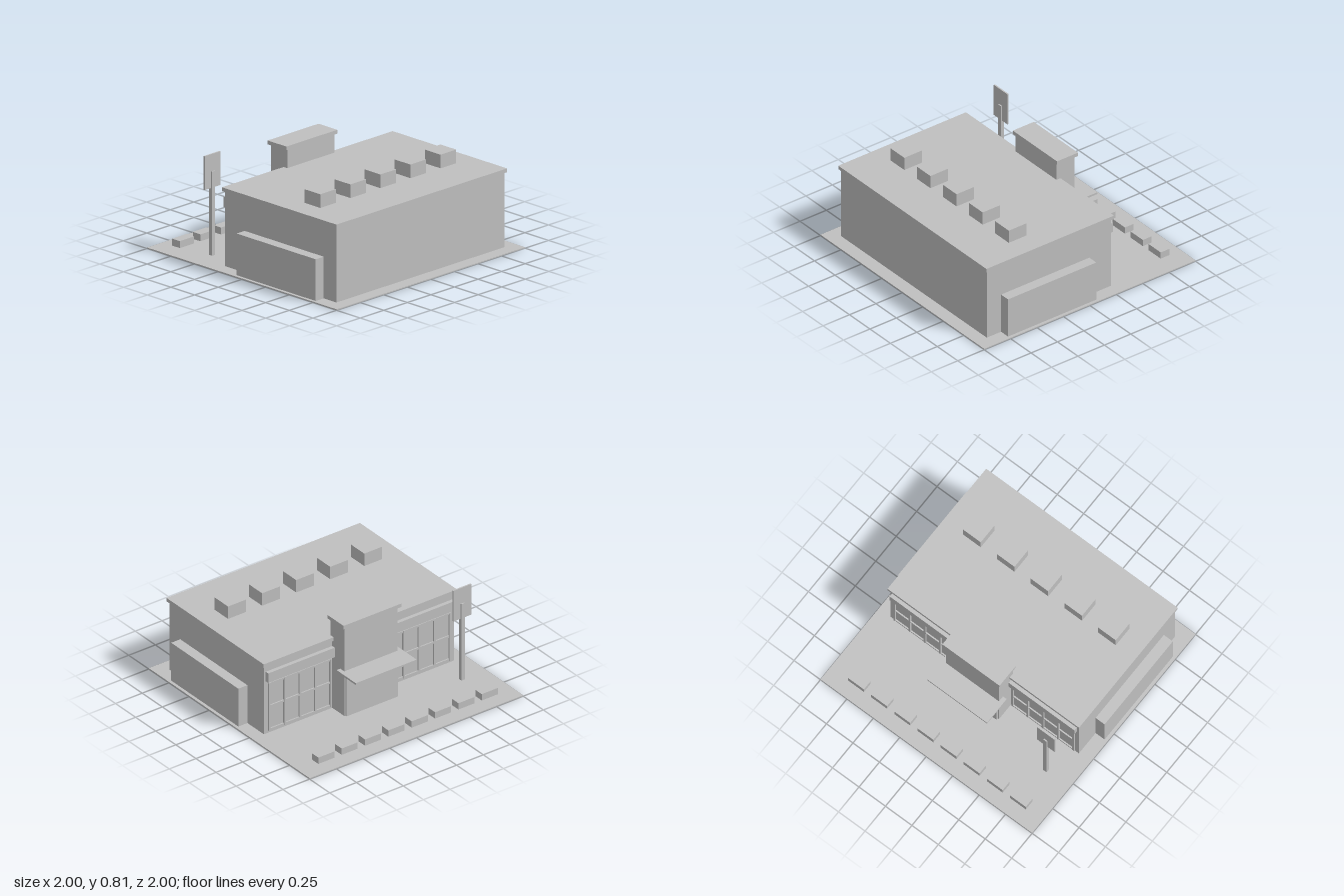
import * as THREE from 'three';

export function createModel() {
  const model = new THREE.Group();
  const grey = new THREE.MeshStandardMaterial({ color: 0xbfbfbf });
  grey.name = 'light grey';

  // Box given by its extents along each axis
  function box(name, [x0, x1], [y0, y1], [z0, z1]) {
    const mesh = new THREE.Mesh(new THREE.BoxGeometry(x1 - x0, y1 - y0, z1 - z0), grey);
    mesh.position.set((x0 + x1) / 2, (y0 + y1) / 2, (z0 + z1) / 2);
    mesh.name = name;
    model.add(mesh);
  }
  const around = (centre, width) => [centre - width / 2, centre + width / 2];
  const side = (s, a, b) => (s > 0 ? [a, b] : [-b, -a]);

  // Lot and main building
  box('ground', [-1, 1], [0, 0.008], [-1, 1]);
  box('building', [-0.89, 0.89], [0.004, 0.602], [-0.285, 0.89]);
  box('roofSlab', [-0.905, 0.905], [0.602, 0.632], [-0.303, 0.905]);

  // Entrance tower, cap, canopy and door
  box('entranceTower', [-0.25, 0.25], [0.004, 0.78], [-0.435, -0.265]);
  box('towerCap', [-0.27, 0.27], [0.78, 0.81], [-0.453, -0.255]);
  box('entranceCanopy', [-0.285, 0.285], [0.382, 0.398], [-0.625, -0.385]);
  box('entranceDoor', [-0.24, 0.24], [0.004, 0.372], [-0.45, -0.43]);

  for (const s of [1, -1]) {
    // Low side wing and fascia band
    box('sideWing', side(s, 0.885, 0.975), [0.004, 0.338], [-0.08, 0.755]);
    box('fasciaBand', side(s, 0.24, 0.873), [0.465, 0.548], [-0.317, -0.28]);

    // Shop window: uprights and rails
    const inner = 0.27, outer = 0.845, panes = 4;
    for (let i = 0; i <= panes; i++) {
      const x = s * (inner + ((outer - inner) * i) / panes);
      box('windowUpright', around(x, 0.016), [0.03, 0.445], [-0.299, -0.28]);
    }
    for (const y of [0.038, 0.24, 0.437]) {
      box('windowRail', side(s, inner, outer), around(y, 0.016), [-0.296, -0.28]);
    }
  }

  // Rooftop units
  for (let i = -2; i <= 2; i++) {
    box('rooftopUnit', around(i * 0.319, 0.166), [0.63, 0.74], [0.385, 0.551]);
  }

  // Parking blocks along the back edge
  for (let i = 0; i < 8; i++) {
    box('parkingBlock', around(-0.775 + i * 0.2186, 0.15), [0.015, 0.07], [-0.883, -0.802]);
  }

  // Roadside sign
  box('signPole', around(-0.775, 0.032), [0.004, 0.674], [-0.552, -0.52]);
  box('signPanel', around(-0.775, 0.168), [0.543, 0.81], [-0.542, -0.53]);

  return model;
}
